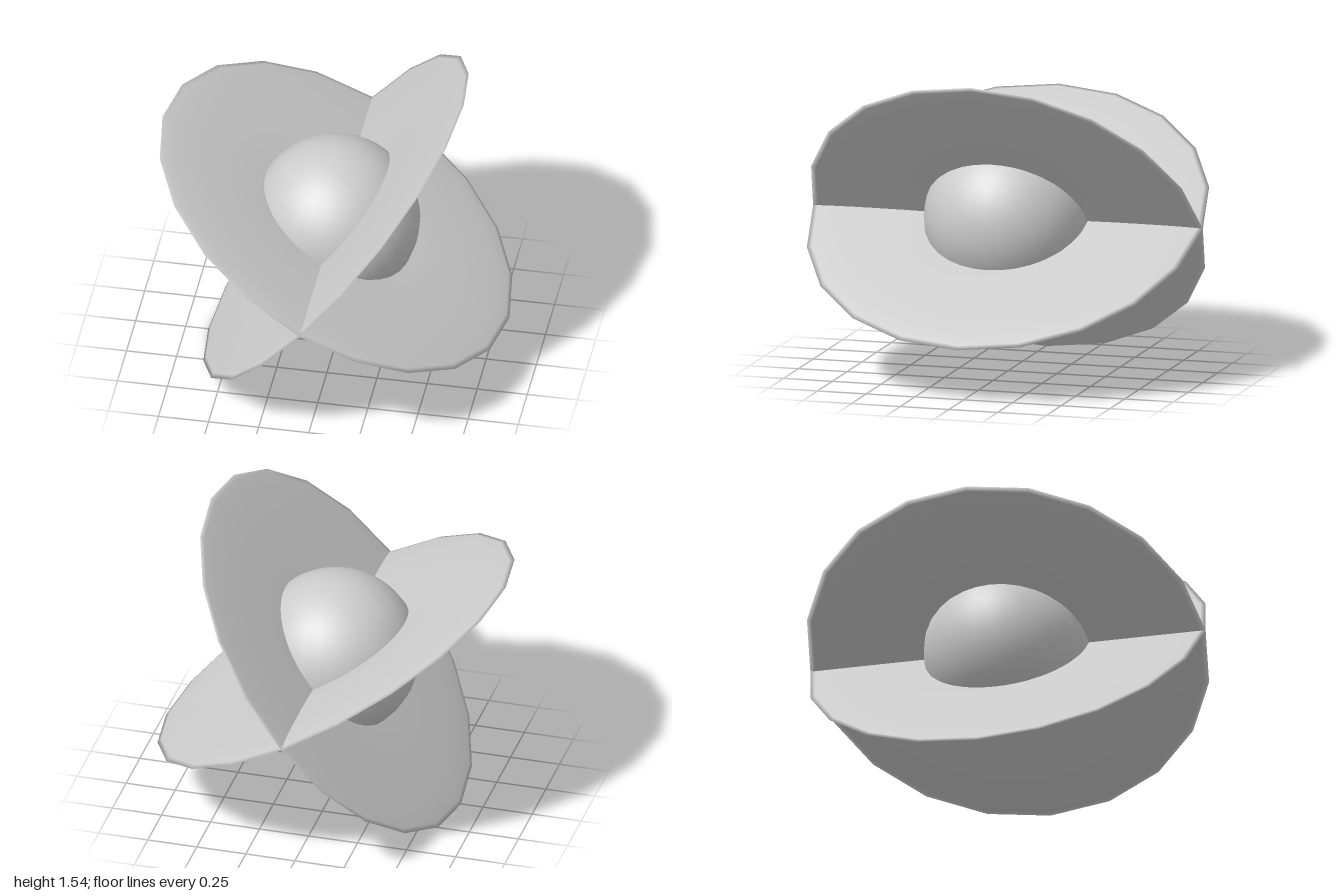
import * as THREE from 'three';

const CENTRE_Y = 0.773;
const material = new THREE.MeshStandardMaterial({ color: 0xcccccc });

// Wide flattened ring lying in the XZ plane, tilted about the z axis
function makeRing(name, halfThickness, tiltDegrees) {
  const tube = 0.33;
  const geometry = new THREE.TorusGeometry(1 - tube, tube, 16, 20);
  geometry.scale(1, 1, halfThickness / tube);
  geometry.rotateX(Math.PI / 2);
  const ring = new THREE.Mesh(geometry, material);
  ring.name = name;
  ring.position.y = CENTRE_Y;
  ring.rotation.z = THREE.MathUtils.degToRad(tiltDegrees);
  return ring;
}

export function createModel() {
  const model = new THREE.Group();
  model.name = 'ringedPlanet';

  // Central ball
  const planet = new THREE.Mesh(new THREE.SphereGeometry(0.414, 32, 24), material);
  planet.name = 'planet';
  planet.position.y = CENTRE_Y;
  model.add(planet);

  // Two crossing rings
  model.add(makeRing('shallowRing', 0.02, -30));
  model.add(makeRing('steepRing', 0.011, 50.4));
  return model;
}
